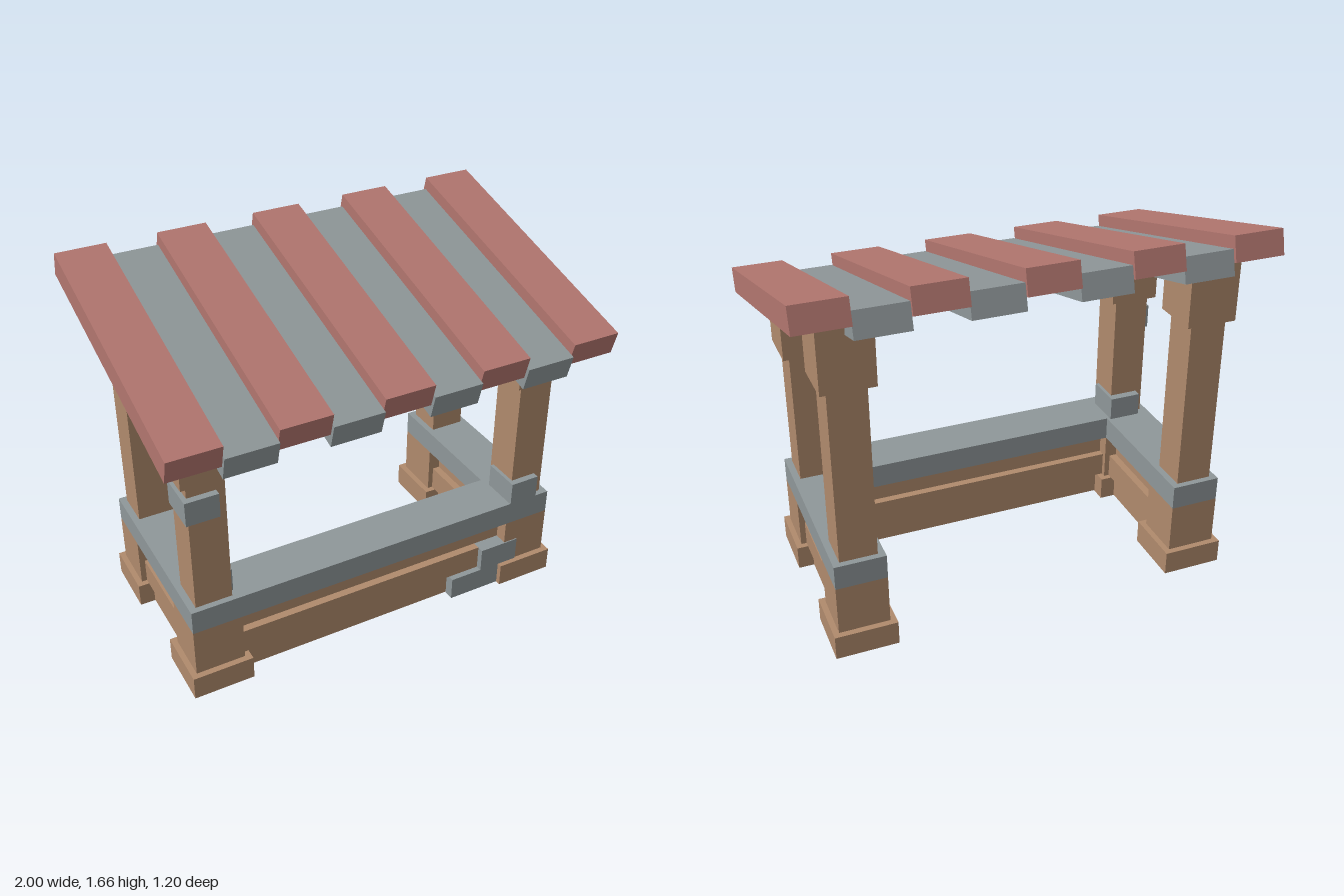
import * as THREE from 'three';

export function createModel() {
  const model = new THREE.Group();
  model.name = 'marketStall';

  const material = (name, color) => {
    const m = new THREE.MeshStandardMaterial({ color });
    m.name = name;
    return m;
  };
  const wood = material('brownWood', 0xb08a6c);
  const stone = material('greyTrim', 0x8f9799);
  const red = material('redRoof', 0xb2766f);

  // Box given by its minimum and maximum on each axis
  const box = (name, mat, [x0, x1], [y0, y1], [z0, z1], parent = model) => {
    const mesh = new THREE.Mesh(new THREE.BoxGeometry(x1 - x0, y1 - y0, z1 - z0), mat);
    mesh.position.set((x0 + x1) / 2, (y0 + y1) / 2, (z0 + z1) / 2);
    mesh.name = name;
    parent.add(mesh);
    return mesh;
  };
  // Range in x, mirrored for the other side
  const mir = (s, a, b) => (s > 0 ? [a, b] : [-b, -a]);

  // Corner posts: foot, block, shaft and cap
  const rows = [
    { name: 'front', z: 0.302, capY: 1.06, top: 1.335 },
    { name: 'back', z: -0.364, capY: 1.23, top: 1.505 },
  ];
  for (const s of [-1, 1]) {
    for (const { name, z, capY, top } of rows) {
      const post = new THREE.Group();
      post.name = name + (s > 0 ? 'Left' : 'Right') + 'Post';
      const zr = (h) => [z - h, z + h];
      box('foot', wood, mir(s, 0.64, 0.915), [0, 0.11], zr(0.1375), post);
      box('block', wood, mir(s, 0.667, 0.89), [0.11, 0.335], zr(0.11), post);
      box('shaft', wood, mir(s, 0.697, 0.86), [0.445, capY], zr(0.083), post);
      box('cap', wood, mir(s, 0.665, 0.89), [capY, top], zr(0.11), post);
      model.add(post);
    }
  }

  // U-shaped counter, open at the back
  box('frontCounter', stone, [-0.89, 0.89], [0.335, 0.445], [0.192, 0.412]);
  for (const s of [-1, 1])
    box('sideCounter', stone, mir(s, 0.667, 0.89), [0.335, 0.445], [-0.474, 0.192]);

  // Staggered wall planks: bottom, middle, top (inset from the block face, height range)
  const planks = [
    [0.045, 0.003, 0.11],
    [0.025, 0.11, 0.225],
    [0.06, 0.225, 0.335],
  ];
  for (const [inset, y0, y1] of planks) {
    box('frontPlank', wood, [-0.68, 0.68], [y0, y1], [0.192 + inset, 0.412 - inset]);
    for (const s of [-1, 1])
      box('sidePlank', wood, mir(s, 0.667 + inset, 0.89 - inset), [y0, y1], [-0.27, 0.21]);
  }

  // Loose grey stones set into the posts and the front wall
  box('postStone', stone, [-0.88, -0.735], [0.89, 1.0], [0.235, 0.415]);
  box('innerStone', stone, [-0.83, -0.68], [0.445, 0.555], [0.18, 0.355]);
  box('cornerStone', stone, [0.68, 0.82], [0.445, 0.555], [0.24, 0.415]);
  box('wallStone', stone, [0.54, 0.735], [0.11, 0.225], [0.35, 0.417]);
  box('groundStone', stone, [0.385, 0.64], [0, 0.11], [0.345, 0.415]);

  // Sloping roof of alternating raised and sunken boards
  const count = 9, width = 2 / count;
  for (let i = 0; i < count; i++) {
    const raised = i % 2 === 0;
    const board = new THREE.Mesh(
      new THREE.BoxGeometry(width, 0.109, 1.218), raised ? red : stone);
    board.name = raised ? 'redRoofBoard' : 'greyRoofBoard';
    board.position.set(-1 + width * (i + 0.5), raised ? 1.45 : 1.394, 0);
    board.rotation.x = THREE.MathUtils.degToRad(15);
    model.add(board);
  }
  return model;
}
